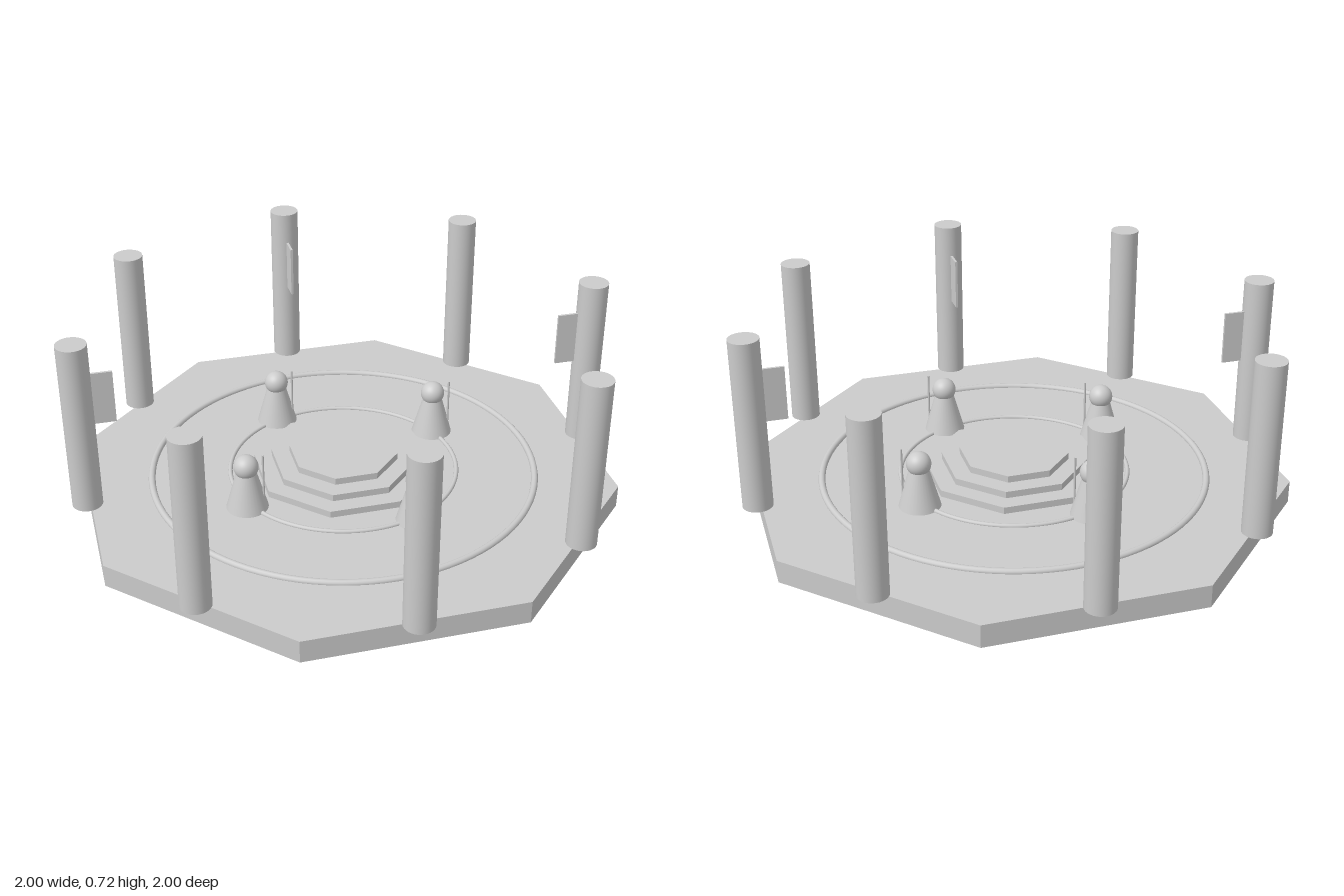
import * as THREE from 'three';

export function createModel() {
  const model = new THREE.Group();
  model.name = 'octagonalArena';
  const stone = new THREE.MeshStandardMaterial({ color: 0xcccccc });
  stone.name = 'paleStone';
  const FLOOR = 0.083;

  function add(parent, name, geometry, x, y, z) {
    const mesh = new THREE.Mesh(geometry, stone);
    mesh.name = name;
    mesh.position.set(x, y, z);
    parent.add(mesh);
    return mesh;
  }

  // Octagonal slab with its corners on the axes
  function octagon(name, radius, bottom, height) {
    const geometry = new THREE.CylinderGeometry(radius, radius, height, 8).toNonIndexed();
    geometry.computeVertexNormals();
    add(model, name, geometry, 0, bottom + height / 2, 0);
  }

  octagon('base', 1, 0, FLOOR);

  // Stepped dais in the middle
  [0.333, 0.267, 0.2].forEach((radius, i) => octagon('daisStep' + (i + 1), radius, FLOOR + i * 0.025, 0.025));

  // Raised floor rings
  function ring(name, radius, tube) {
    const geometry = new THREE.TorusGeometry(radius, tube, 12, 96).rotateX(Math.PI / 2);
    add(model, name, geometry, 0, FLOOR + 0.002, 0);
  }
  ring('outerRing', 0.7, 0.0125);
  ring('innerRing', 0.415, 0.0083);

  // Pillars over the middle of each edge; every second one carries a banner
  const pillarGeometry = new THREE.CylinderGeometry(0.054, 0.054, 0.634, 32);
  const bannerGeometry = new THREE.BoxGeometry(0.1, 0.195, 0.009);
  for (let i = 0; i < 8; i++) {
    const bay = new THREE.Group();
    bay.name = 'pillarBay' + (i + 1);
    bay.rotation.y = Math.PI / 8 + (i * Math.PI) / 4;
    add(bay, 'pillar', pillarGeometry, 0.935, FLOOR + 0.317, 0);
    if (i % 2 === 0) add(bay, 'banner', bannerGeometry, 0.857, 0.502, 0);
    model.add(bay);
  }

  // Four guards, each with a staff on its left
  const robeGeometry = new THREE.CylinderGeometry(0.033, 0.075, 0.15, 32);
  const headGeometry = new THREE.SphereGeometry(0.044, 32, 20);
  const staffGeometry = new THREE.CylinderGeometry(0.004, 0.004, 0.2, 8);
  for (const x of [-0.3, 0.3]) {
    for (const z of [-0.3, 0.3]) {
      const guard = new THREE.Group();
      guard.name = 'guard';
      guard.position.set(x, 0, z);
      add(guard, 'robe', robeGeometry, 0, FLOOR + 0.075, 0);
      add(guard, 'head', headGeometry, 0, 0.247, 0);
      add(guard, 'staff', staffGeometry, 0.06, 0.2, 0);
      model.add(guard);
    }
  }
  return model;
}
